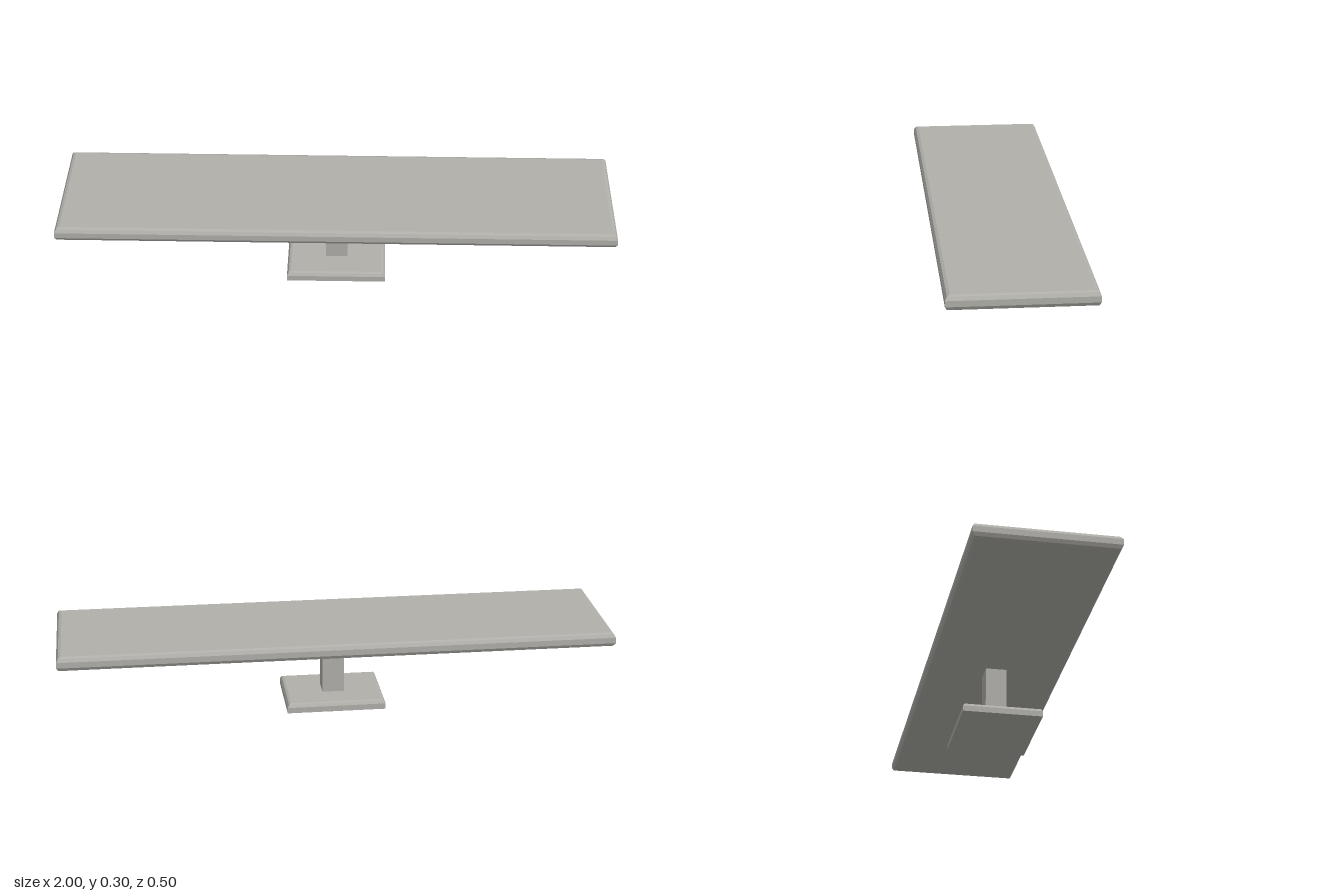
import * as THREE from 'three';

// Stacks rectangles [y, inset] into a closed slab with flat faces.
function slab(halfX, halfZ, profile) {
  const rings = profile.map(([y, inset]) => {
    const x = halfX - inset, z = halfZ - inset;
    return [[x, y, z], [x, y, -z], [-x, y, -z], [-x, y, z]];
  });
  const pos = [];
  const quad = (a, b, c, d) => pos.push(...a, ...b, ...c, ...a, ...c, ...d);
  for (let i = 0; i < rings.length - 1; i++) {
    const lo = rings[i], hi = rings[i + 1];
    for (let j = 0; j < 4; j++) {
      const k = (j + 1) % 4;
      quad(lo[j], lo[k], hi[k], hi[j]);
    }
  }
  const first = rings[0], last = rings[rings.length - 1];
  quad(...last);
  quad(first[3], first[2], first[1], first[0]);
  const geo = new THREE.BufferGeometry();
  geo.setAttribute('position', new THREE.Float32BufferAttribute(pos, 3));
  geo.computeVertexNormals();
  return geo;
}

export function createModel() {
  const group = new THREE.Group();
  const grey = new THREE.MeshStandardMaterial({ color: 0xb0afaa });
  grey.name = 'warm grey';
  const add = (name, geo) => {
    const mesh = new THREE.Mesh(geo, grey);
    mesh.name = name;
    group.add(mesh);
    return mesh;
  };

  // Long top with rounded rims above and below
  add('tabletop', slab(1, 0.251, [
    [0.243, 0.017], [0.247, 0.007], [0.259, 0],
    [0.28, 0], [0.292, 0.007], [0.296, 0.017],
  ]));

  // Square post
  add('post', new THREE.BoxGeometry(0.08, 0.217, 0.077)).position.y = 0.1385;

  // Foot plate, rounded along its upper rim only
  add('footPlate', slab(0.18, 0.145, [
    [0, 0], [0.021, 0], [0.031, 0.006], [0.034, 0.014],
  ]));

  return group;
}
